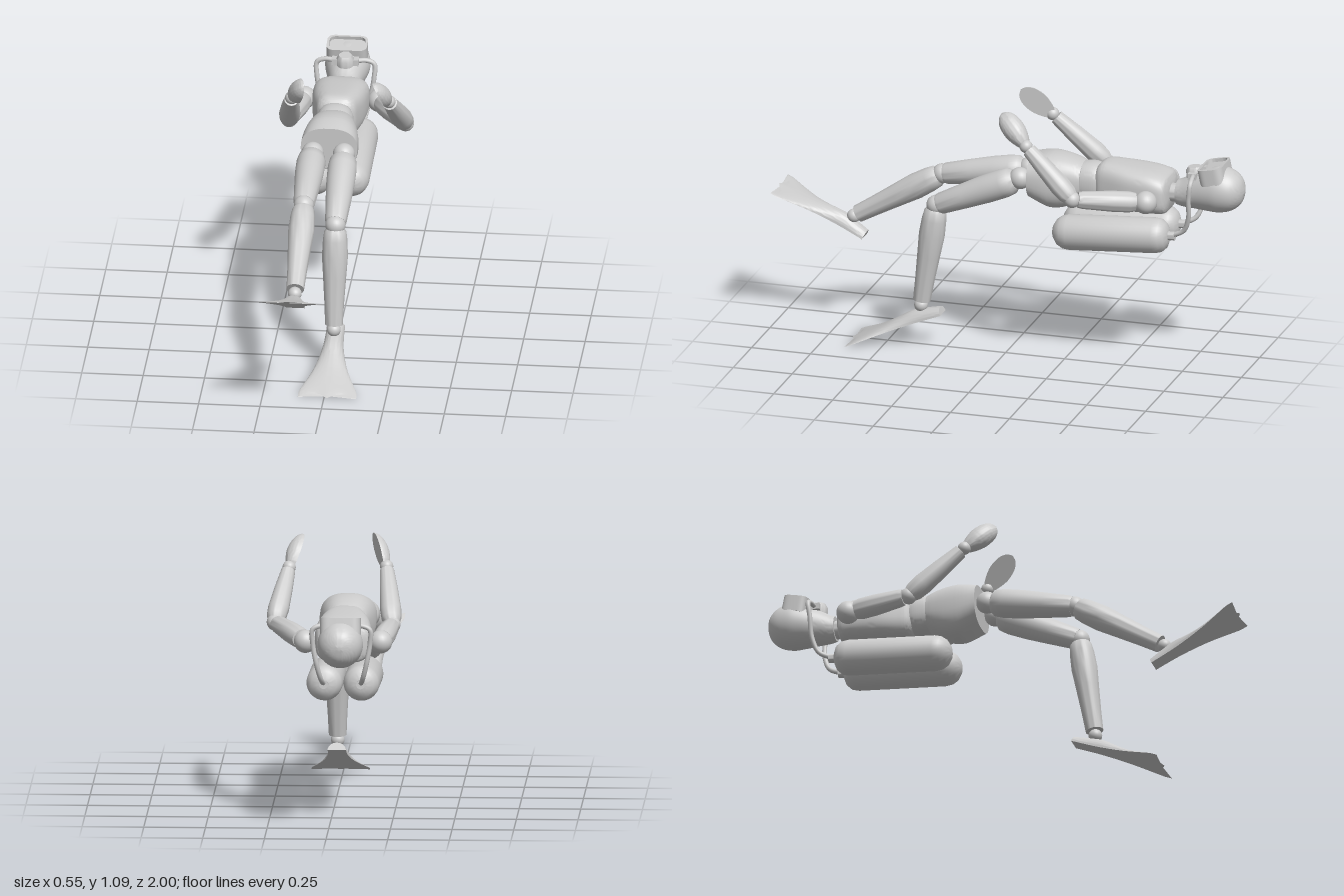
import * as THREE from 'three';
import { toCreasedNormals } from 'three/addons/utils/BufferGeometryUtils.js';

const CX = -0.053; // middle of the body
const V = (x, y, z) => new THREE.Vector3(x, y, z);
const material = new THREE.MeshStandardMaterial({ color: 0xcccccc, side: THREE.DoubleSide });

function add(parent, name, geometry, pos = [0, 0, 0]) {
  const mesh = new THREE.Mesh(geometry, material);
  mesh.name = name;
  mesh.position.set(...pos);
  parent.add(mesh);
  return mesh;
}

const ball = (parent, name, p, r) => add(parent, name, new THREE.SphereGeometry(r, 24, 16), p);

// Turned part from a to b; profile rows are [radius, fraction of the length]
function limb(parent, name, a, b, profile) {
  const from = V(...a), dir = V(...b).sub(from), len = dir.length();
  const pts = profile.map(([r, t]) => new THREE.Vector2(r, t * len));
  const mesh = add(parent, name, toCreasedNormals(new THREE.LatheGeometry(pts, 32), 0.7), a);
  mesh.quaternion.setFromUnitVectors(V(0, 1, 0), dir.normalize());
  return mesh;
}

// Loft along +z through sections [z, centre y, half width, half height]
function loft(sections, { n = 2, flat = false, scallop = 0, steps = 32, seg = 48 } = {}) {
  const path = new THREE.CatmullRomCurve3(sections.map(s => V(s[0], s[1], 0)), false, 'catmullrom');
  const size = new THREE.CatmullRomCurve3(sections.map(s => V(s[2], s[3], 0)), false, 'catmullrom');
  const power = v => Math.sign(v) * Math.abs(v) ** (2 / n);
  const pos = [], idx = [];
  for (let i = 0; i <= steps; i++) {
    const t = i / steps, p = path.getPoint(t), s = size.getPoint(t);
    for (let j = 0; j < seg; j++) {
      const a = j / seg * Math.PI * 2;
      const cx = power(Math.cos(a)), sy = power(Math.sin(a));
      const notch = scallop * t ** 6 * Math.abs(Math.sin(cx * Math.PI));
      pos.push(cx * s.x, p.y + (flat ? Math.max(0, sy) : sy) * s.y, p.x - notch);
      if (i < steps) {
        const k = i * seg + j, l = i * seg + (j + 1) % seg;
        idx.push(k, l, l + seg, k, l + seg, k + seg);
      }
    }
  }
  // End caps
  const first = sections[0], last = sections[sections.length - 1], c = pos.length / 3;
  pos.push(0, first[1], first[0], 0, last[1], last[0] - scallop * 0.5);
  for (let j = 0; j < seg; j++) {
    const l = (j + 1) % seg, e = steps * seg;
    idx.push(c, l, j, c + 1, e + j, e + l);
  }
  const g = new THREE.BufferGeometry();
  g.setAttribute('position', new THREE.Float32BufferAttribute(pos, 3));
  g.setIndex(idx);
  return toCreasedNormals(g, 0.7);
}

function roundedRect(target, w, h, r) {
  const x = w / 2, y = h / 2;
  target.moveTo(-x + r, -y).lineTo(x - r, -y).quadraticCurveTo(x, -y, x, -y + r)
    .lineTo(x, y - r).quadraticCurveTo(x, y, x - r, y)
    .lineTo(-x + r, y).quadraticCurveTo(-x, y, -x, y - r)
    .lineTo(-x, -y + r).quadraticCurveTo(-x, -y, -x + r, -y);
  return target;
}

function addBody(g) {
  add(g, 'head', loft([
    [-1, 0.785, 0.002, 0.002], [-0.985, 0.785, 0.048, 0.05], [-0.95, 0.785, 0.08, 0.082],
    [-0.9, 0.785, 0.092, 0.096], [-0.85, 0.78, 0.086, 0.09], [-0.79, 0.77, 0.07, 0.076],
    [-0.74, 0.757, 0.057, 0.06], [-0.715, 0.755, 0.05, 0.052]]), [CX, 0, 0]);
  limb(g, 'neck', [CX, 0.75, -0.76], [CX, 0.75, -0.64], [[0, 0], [0.038, 0], [0.038, 1], [0, 1]]);
  add(g, 'chest', loft([
    [-0.69, 0.75, 0.08, 0.055], [-0.675, 0.75, 0.105, 0.078], [-0.62, 0.757, 0.115, 0.089],
    [-0.52, 0.762, 0.108, 0.095], [-0.43, 0.765, 0.088, 0.097], [-0.4, 0.765, 0.079, 0.09],
    [-0.385, 0.765, 0.068, 0.075]], { n: 3.2 }), [CX, 0, 0]);
  add(g, 'waist', loft([
    [-0.42, 0.765, 0.06, 0.062], [-0.385, 0.765, 0.073, 0.077], [-0.35, 0.765, 0.076, 0.081],
    [-0.31, 0.765, 0.073, 0.075], [-0.29, 0.765, 0.06, 0.06]], { n: 2.4 }), [CX, 0, 0]);
  add(g, 'pelvis', loft([
    [-0.32, 0.765, 0.082, 0.076], [-0.29, 0.762, 0.092, 0.092], [-0.24, 0.757, 0.104, 0.11],
    [-0.19, 0.757, 0.112, 0.115], [-0.15, 0.762, 0.115, 0.105], [-0.105, 0.768, 0.115, 0.088]],
  { n: 2.5 }), [CX, 0, 0]);
}

function addLeg(g, side, x, knee, ankle, heel, pitch) {
  const leg = new THREE.Group();
  leg.name = side + 'Leg';
  g.add(leg);
  const hip = [x, 0.765, -0.065], k = [x, ...knee], a = [x, ...ankle];
  ball(leg, 'hipJoint', hip, 0.045);
  limb(leg, 'thigh', hip, k, [[0, 0.05], [0.04, 0.06], [0.054, 0.1], [0.059, 0.2], [0.058, 0.4],
    [0.052, 0.65], [0.044, 0.94], [0.04, 0.97], [0, 0.97]]);
  ball(leg, 'kneeJoint', k, 0.041);
  limb(leg, 'calf', k, a, [[0, 0.03], [0.036, 0.03], [0.045, 0.06], [0.05, 0.14], [0.053, 0.3],
    [0.047, 0.5], [0.04, 0.75], [0.036, 0.95], [0, 0.95]]);
  ball(leg, 'ankleJoint', a, 0.028);
  const fin = add(leg, 'swimFin', loft([
    [0, 0, 0.037, 0.03], [0.06, 0, 0.038, 0.04], [0.12, 0, 0.042, 0.046], [0.19, 0, 0.054, 0.034],
    [0.26, 0, 0.073, 0.022], [0.33, 0, 0.1, 0.013], [0.375, 0, 0.117, 0.008], [0.408, 0, 0.119, 0.004]],
  { flat: true, scallop: 0.022, seg: 64 }), [x, ...heel]);
  fin.rotation.x = pitch;
}

function addArm(g, side, shoulder, elbow, wrist, tip, outward) {
  const arm = new THREE.Group();
  arm.name = side + 'Arm';
  g.add(arm);
  ball(arm, 'shoulderJoint', shoulder, 0.047);
  limb(arm, 'upperArm', shoulder, elbow, [[0, 0.12], [0.038, 0.14], [0.043, 0.22], [0.043, 0.45],
    [0.036, 0.86], [0.032, 0.92], [0, 0.92]]);
  ball(arm, 'elbowJoint', elbow, 0.034);
  limb(arm, 'forearm', elbow, wrist, [[0, 0.02], [0.032, 0.03], [0.04, 0.1], [0.043, 0.25],
    [0.037, 0.6], [0.029, 0.93], [0, 0.95]]);
  ball(arm, 'wristJoint', wrist, 0.027);
  // Mitten-shaped hand, domed on the back and flat on the palm
  const zAxis = V(...tip).sub(V(...wrist)), len = zAxis.length();
  zAxis.normalize();
  const xAxis = V(...outward).cross(zAxis).normalize(), yAxis = zAxis.clone().cross(xAxis);
  const hand = add(arm, 'hand', loft([
    [0, 0, 0.016, 0.022], [len * 0.15, 0, 0.031, 0.036], [len * 0.45, 0, 0.045, 0.044],
    [len * 0.75, 0, 0.041, 0.035], [len * 0.93, 0, 0.024, 0.018], [len, 0, 0.003, 0.003]],
  { flat: true }), wrist);
  hand.quaternion.setFromRotationMatrix(new THREE.Matrix4().makeBasis(xAxis, yAxis, zAxis));
  hand.position.addScaledVector(yAxis, -0.015);
}

function addMask(g) {
  const mask = new THREE.Group();
  mask.name = 'divingMask';
  mask.position.set(CX, 0.822, -0.88);
  mask.rotation.x = 0.2;
  g.add(mask);
  const frame = roundedRect(new THREE.Shape(), 0.165, 0.105, 0.035);
  frame.holes.push(roundedRect(new THREE.Path(), 0.145, 0.085, 0.028));
  const rim = new THREE.ExtrudeGeometry(frame, { depth: 0.068, bevelEnabled: false, curveSegments: 8 });
  add(mask, 'maskFrame', toCreasedNormals(rim.rotateX(-Math.PI / 2), 0.6));
  const pane = new THREE.ExtrudeGeometry(roundedRect(new THREE.Shape(), 0.15, 0.09, 0.028),
    { depth: 0.006, bevelEnabled: false });
  add(mask, 'maskGlass', pane.rotateX(-Math.PI / 2), [0, 0.048, 0]);
  const nose = new THREE.CylinderGeometry(0.018, 0.03, 0.05, 4, 1).rotateY(Math.PI / 4);
  add(mask, 'nosePocket', toCreasedNormals(nose, 0.3), [0, 0.038, 0.045]);
}

function addBreathingGear(g) {
  // Mouthpiece
  limb(g, 'mouthpiece', [CX, 0.82, -0.79], [CX, 0.872, -0.785], [[0, 0], [0.036, 0], [0.036, 0.7], [0.026, 1], [0, 1]]);
  add(g, 'mouthpieceBar', new THREE.BoxGeometry(0.11, 0.026, 0.036), [CX, 0.843, -0.79]);
  for (const s of [-1, 1]) {
    const x = CX + s * 0.075;
    // Tank and its valve
    limb(g, 'airTank', [x, 0.555, -0.21], [x, 0.588, -0.7], [[0, 0], [0.03, 0.008], [0.054, 0.04],
      [0.068, 0.085], [0.073, 0.14], [0.073, 0.88], [0.068, 0.935], [0.052, 0.975], [0.03, 0.995], [0, 1]]);
    limb(g, 'tankValve', [x, 0.588, -0.69], [x, 0.59, -0.725], [[0, 0], [0.018, 0], [0.018, 1], [0, 1]]);
    // Hose from the mouthpiece around the jaw to the tank
    const hose = new THREE.CatmullRomCurve3([
      V(CX + s * 0.03, 0.843, -0.79), V(CX + s * 0.085, 0.845, -0.8), V(CX + s * 0.116, 0.83, -0.802),
      V(CX + s * 0.116, 0.77, -0.795), V(CX + s * 0.1, 0.68, -0.79), V(CX + s * 0.085, 0.62, -0.765),
      V(x, 0.591, -0.71)]);
    add(g, 'airHose', new THREE.TubeGeometry(hose, 48, 0.01, 12));
  }
}

export function createModel() {
  const g = new THREE.Group();
  g.name = 'scubaDiver';
  addBody(g);
  addLeg(g, 'right', -0.115, [0.702, 0.305], [0.48, 0.68], [0.395, 0.635], -0.48);
  addLeg(g, 'left', 0.012, [0.612, 0.29], [0.175, 0.355], [0.148, 0.263], 0.365);
  addArm(g, 'right', [-0.205, 0.75, -0.625], [-0.24, 0.775, -0.36], [-0.208, 0.975, -0.135],
    [-0.16, 1.087, -0.015], [-1, -0.2, 0]);
  addArm(g, 'left', [0.1, 0.75, -0.625], [0.235, 0.78, -0.355], [0.187, 0.97, -0.145],
    [0.15, 1.09, -0.03], [1, 0.1, -0.5]);
  addMask(g);
  addBreathingGear(g);
  return g;
}
